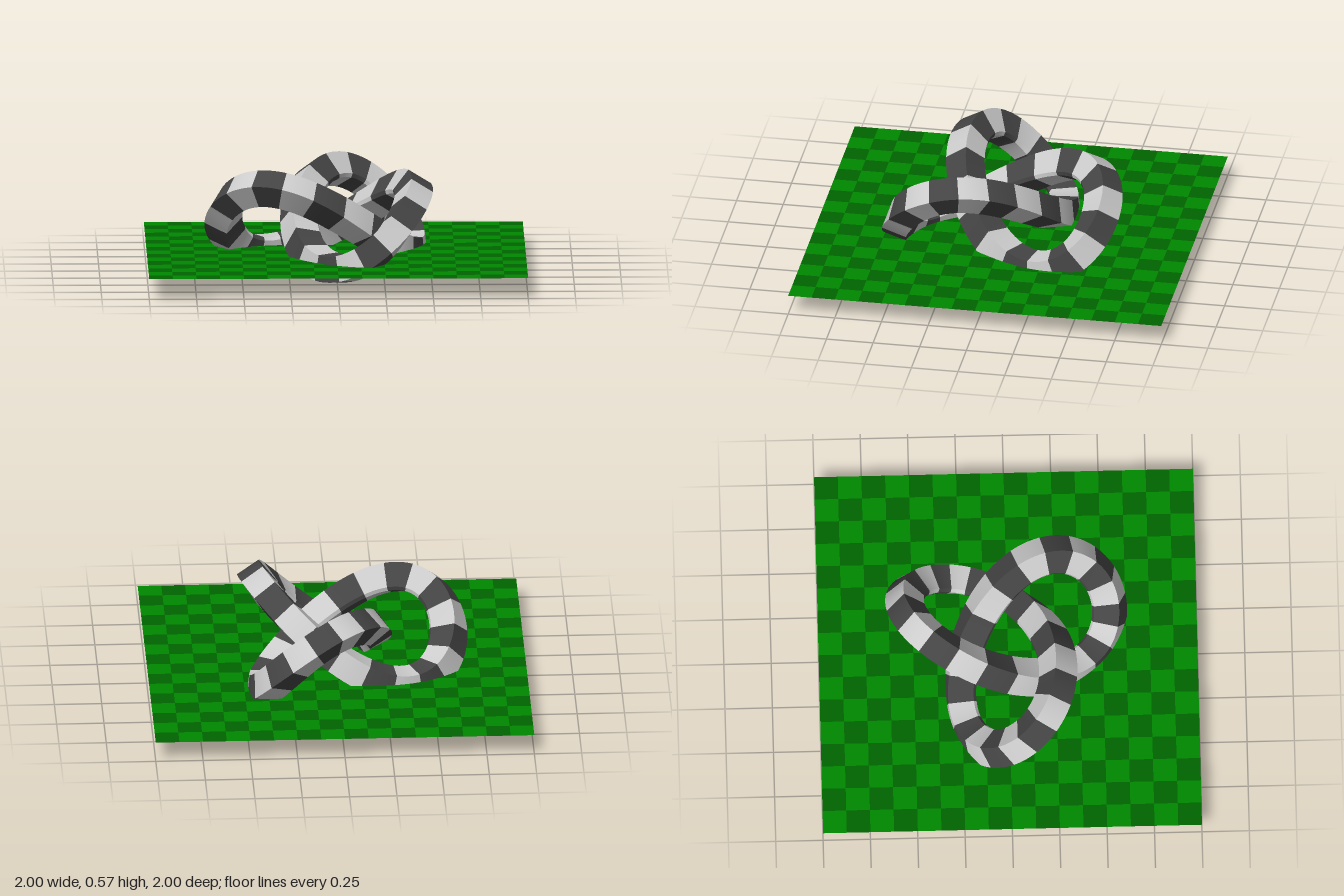
import * as THREE from 'three';
import { mergeGeometries } from 'three/addons/utils/BufferGeometryUtils.js';

const SCALE = 0.2, CENTRE_Y = 0.273, FLOOR_Y = 0.107;
const STRIPES = 40, STEPS = 6, CELLS = 16;
const UP = new THREE.Vector3(0, 1, 0);

// Square section as [degrees, radius], with a narrow lip on the inner edge
const SECTION = [[0, 0.097], [90, 0.097], [173, 0.107], [185, 0.107], [270, 0.097]];

// Trefoil centre line, lying flat
function knotPoint(t) {
  return new THREE.Vector3(
    Math.cos(t) - 2 * Math.cos(2 * t),
    -Math.sin(3 * t),
    Math.sin(t) + 2 * Math.sin(2 * t)
  ).multiplyScalar(SCALE).add(new THREE.Vector3(0, CENTRE_Y, 0));
}

// Corner k of the section, which rolls gently along the knot
function corner(t, k) {
  const tangent = knotPoint(t + 0.001).sub(knotPoint(t - 0.001)).normalize();
  const out = new THREE.Vector3().crossVectors(tangent, UP).normalize();
  const lift = new THREE.Vector3().crossVectors(out, tangent);
  const [degrees, radius] = SECTION[k % SECTION.length];
  const angle = -0.23 - 0.46 * Math.sin(3 * t) + THREE.MathUtils.degToRad(degrees);
  return knotPoint(t)
    .addScaledVector(out, radius * Math.cos(angle))
    .addScaledVector(lift, radius * Math.sin(angle));
}

// One side face of one stripe: smooth along, sharp across
function stripeSide(stripe, side) {
  const positions = [], index = [];
  for (let i = 0; i <= STEPS; i++) {
    const t = (stripe + i / STEPS) / STRIPES * Math.PI * 2;
    positions.push(...corner(t, side).toArray(), ...corner(t, side + 1).toArray());
    if (i < STEPS) {
      const a = i * 2;
      index.push(a, a + 2, a + 1, a + 1, a + 2, a + 3);
    }
  }
  const geometry = new THREE.BufferGeometry();
  geometry.setAttribute('position', new THREE.Float32BufferAttribute(positions, 3));
  geometry.setIndex(index);
  geometry.computeVertexNormals();
  return geometry;
}

function addMerged(parent, name, geometries, color, side = THREE.FrontSide) {
  const material = new THREE.MeshStandardMaterial({ color, side });
  const mesh = new THREE.Mesh(mergeGeometries(geometries), material);
  mesh.name = name;
  parent.add(mesh);
}

export function createModel() {
  const model = new THREE.Group();
  model.name = 'knotOnCheckeredFloor';

  // Striped knot
  const knot = new THREE.Group();
  knot.name = 'knot';
  const stripes = [[], []];
  for (let s = 0; s < STRIPES; s++) {
    for (let k = 0; k < SECTION.length; k++) stripes[s % 2].push(stripeSide(s, k));
  }
  addMerged(knot, 'lightStripes', stripes[0], 0xcccccc);
  addMerged(knot, 'darkStripes', stripes[1], 0x444444);

  // Thin checkered floor, cut by the low bends of the knot
  const floor = new THREE.Group();
  floor.name = 'floor';
  const cells = [[], []], size = 2 / CELLS;
  for (let i = 0; i < CELLS; i++) {
    for (let j = 0; j < CELLS; j++) {
      const cell = new THREE.PlaneGeometry(size, size);
      cell.rotateX(-Math.PI / 2);
      cell.translate((i + 0.5) * size - 1, FLOOR_Y, (j + 0.5) * size - 1);
      cells[(i + j) % 2].push(cell);
    }
  }
  addMerged(floor, 'brightSquares', cells[0], 0x008800, THREE.DoubleSide);
  addMerged(floor, 'darkSquares', cells[1], 0x006400, THREE.DoubleSide);

  model.add(knot, floor);
  return model;
}
